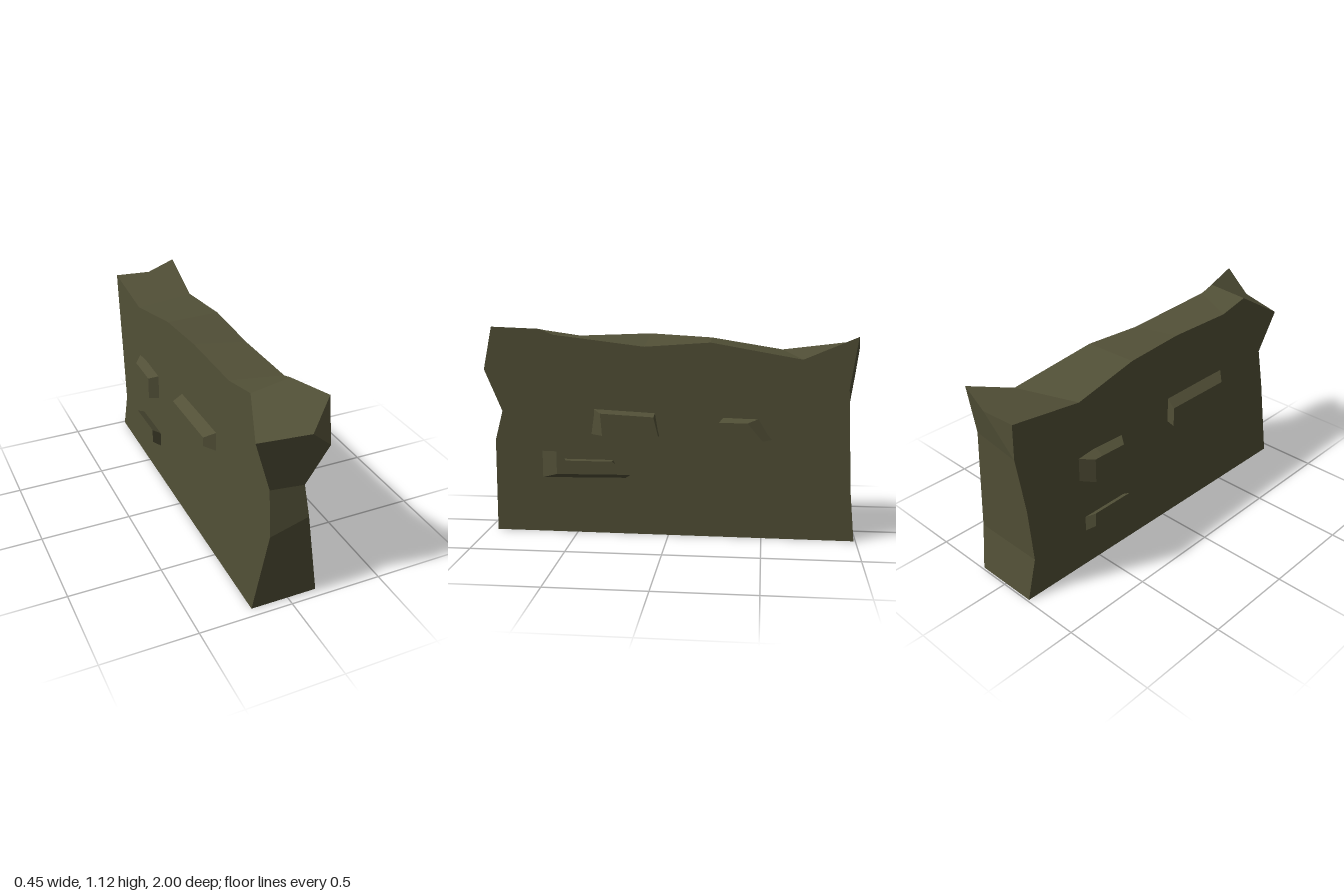
import * as THREE from 'three';

const stone = new THREE.MeshStandardMaterial({ color: 0x525037 });
stone.name = 'mossy stone';

// Rims of the slab: front foot, up the front, along the top, down the back
const R = [
  [0.158, 0, 0.95], [0.08, 0.49, 0.97], [0.07, 0.65, 0.93], [0.15, 0.89, 1.0], [0.158, 1.12, 0.95],
  [0.09, 1.105, 0.71], [0.1, 1.075, 0.63], [0.145, 1.02, 0.13], [0.14, 1.045, -0.22], [0.175, 0.965, -0.7],
  [0.18, 1.085, -0.98], [0.18, 0.815, -0.94], [0.18, 0.27, -0.965], [0.18, 0, -0.99],
];
const L = [
  [-0.2, 0, 0.95], [-0.125, 0.43, 0.97], [-0.115, 0.67, 0.93], [-0.2, 0.95, 0.94], [-0.125, 1.08, 0.73],
  [-0.14, 1.05, 0.53], [-0.15, 1.065, 0.13], [-0.155, 1.045, -0.21], [-0.18, 0.98, -0.6], [-0.175, 1.03, -1.0],
  [-0.17, 0.84, -1.0], [-0.175, 0.53, -0.955], [-0.175, 0.22, -0.93], [-0.18, 0, -0.99],
];
const frontTip = [0.055, 0.97, 1.0];
const backTip = [0.03, 1.02, -1.0];

// Mesh from polygons, each cut as a fan and shaded with one normal
function polyMesh(name, polygons) {
  const pos = [];
  const nor = [];
  for (const p of polygons) {
    const v = p.map((c) => new THREE.Vector3(...c));
    const normal = new THREE.Vector3();
    for (let i = 1; i < v.length - 1; i++) {
      pos.push(...p[0], ...p[i], ...p[i + 1]);
      normal.add(v[i].clone().sub(v[0]).cross(v[i + 1].clone().sub(v[0])));
    }
    normal.normalize();
    for (let i = 0; i < (v.length - 2) * 3; i++) nor.push(...normal.toArray());
  }
  const geo = new THREE.BufferGeometry();
  geo.setAttribute('position', new THREE.Float32BufferAttribute(pos, 3));
  geo.setAttribute('normal', new THREE.Float32BufferAttribute(nor, 3));
  const mesh = new THREE.Mesh(geo, stone);
  mesh.name = name;
  return mesh;
}

// Broad wall face: the rim eases out to a flat middle, shaded as one plane
function wallFace(name, rim, side) {
  const faceX = (z) => (side > 0 ? 0.17 - 0.012 * z : -0.18);
  const inner = rim.map(([, y, z]) => [faceX(z * 0.78), 0.5 + (y - 0.5) * 0.78, z * 0.78]);
  const centre = [faceX(0), 0.5, 0];
  const polygons = [];
  rim.forEach((a, i) => {
    const j = (i + 1) % rim.length;
    polygons.push([a, inner[i], inner[j], rim[j]], [inner[i], centre, inner[j]]);
  });
  if (side < 0) polygons.forEach((p) => p.reverse());
  const mesh = polyMesh(name, polygons);
  const n = mesh.geometry.attributes.normal;
  for (let i = 0; i < n.count; i++) n.setXYZ(i, side, 0, 0);
  return mesh;
}

// Protruding stone: matching base and outer loops of [z, y]
function protrudingStone(name, side, outX, base, outer) {
  const flat = outer.map(([z, y]) => new THREE.Vector2(-z * side, y));
  if (THREE.ShapeUtils.isClockWise(flat)) {
    flat.reverse();
    base = [...base].reverse();
    outer = [...outer].reverse();
  }
  const b = base.map(([z, y]) => [side * 0.155, y, z]);
  const o = outer.map(([z, y]) => [side * outX, y, z]);
  const polygons = THREE.ShapeUtils.triangulateShape(flat, []).map((t) => t.map((i) => o[i]));
  b.forEach((p, i) => {
    const j = (i + 1) % b.length;
    polygons.push([p, b[j], o[j], o[i]]);
  });
  return polyMesh(name, polygons);
}

export function createModel() {
  const group = new THREE.Group();
  group.name = 'stoneWall';

  group.add(polyMesh('frontEnd', [
    [L[0], R[0], R[1], L[1]],
    [L[1], R[1], R[2], L[2]],
    [L[2], R[2], R[3], frontTip, L[3]],
    [frontTip, R[3], R[4]],
  ]));
  const top = [[frontTip, R[4], R[5], L[4], L[3]]];
  for (let i = 4; i < 8; i++) top.push([L[i], R[i + 1], R[i + 2], L[i + 1]]);
  top.push([backTip, L[9], L[8], R[9], R[10]]);
  group.add(polyMesh('top', top));
  group.add(polyMesh('backEnd', [
    [L[9], backTip, L[10]],
    [backTip, R[10], R[11], L[10]],
    [L[11], L[10], R[11], R[12], L[12]],
    [L[12], R[12], R[13], L[13]],
  ]));
  group.add(polyMesh('underside', [[L[13], R[13], R[0], L[0]]]));
  group.add(wallFace('leftFace', R, 1), wallFace('rightFace', L, -1));

  // Stones on the +x face
  group.add(
    protrudingStone('leftLowStone', 1, 0.208,
      [[0.7, 0.3], [0.7, 0.45], [0.57, 0.41], [0.3, 0.41], [0.24, 0.305]],
      [[0.6, 0.335], [0.6, 0.46], [0.55, 0.41], [0.3, 0.41], [0.2, 0.34]]),
    protrudingStone('leftMiddleStone', 1, 0.21,
      [[0.43, 0.55], [0.41, 0.69], [0.07, 0.675], [0.05, 0.55]],
      [[0.35, 0.55], [0.36, 0.67], [0.075, 0.655], [0.05, 0.55]]),
    protrudingStone('leftBackStone', 1, 0.225,
      [[-0.27, 0.54], [-0.3, 0.66], [-0.5, 0.655], [-0.57, 0.54]],
      [[-0.27, 0.54], [-0.27, 0.635], [-0.42, 0.635], [-0.5, 0.54]]),
  );
  // Stones on the -x face
  group.add(
    protrudingStone('rightMiddleStone', -1, 0.23,
      [[0.04, 0.6], [0.04, 0.755], [0.5, 0.76], [0.5, 0.63]],
      [[0.03, 0.59], [0.03, 0.7], [0.43, 0.7], [0.43, 0.65]]),
    protrudingStone('rightBackStone', -1, 0.23,
      [[-0.65, 0.545], [-0.65, 0.675], [-0.5, 0.69], [-0.3, 0.68], [-0.3, 0.53]],
      [[-0.55, 0.52], [-0.55, 0.655], [-0.5, 0.655], [-0.35, 0.65], [-0.35, 0.525]]),
    protrudingStone('rightLowStone', -1, 0.23,
      [[-0.6, 0.19], [-0.6, 0.28], [-0.31, 0.28], [-0.31, 0.19]],
      [[-0.56, 0.25], [-0.56, 0.33], [-0.31, 0.33], [-0.31, 0.25]]),
  );
  return group;
}
